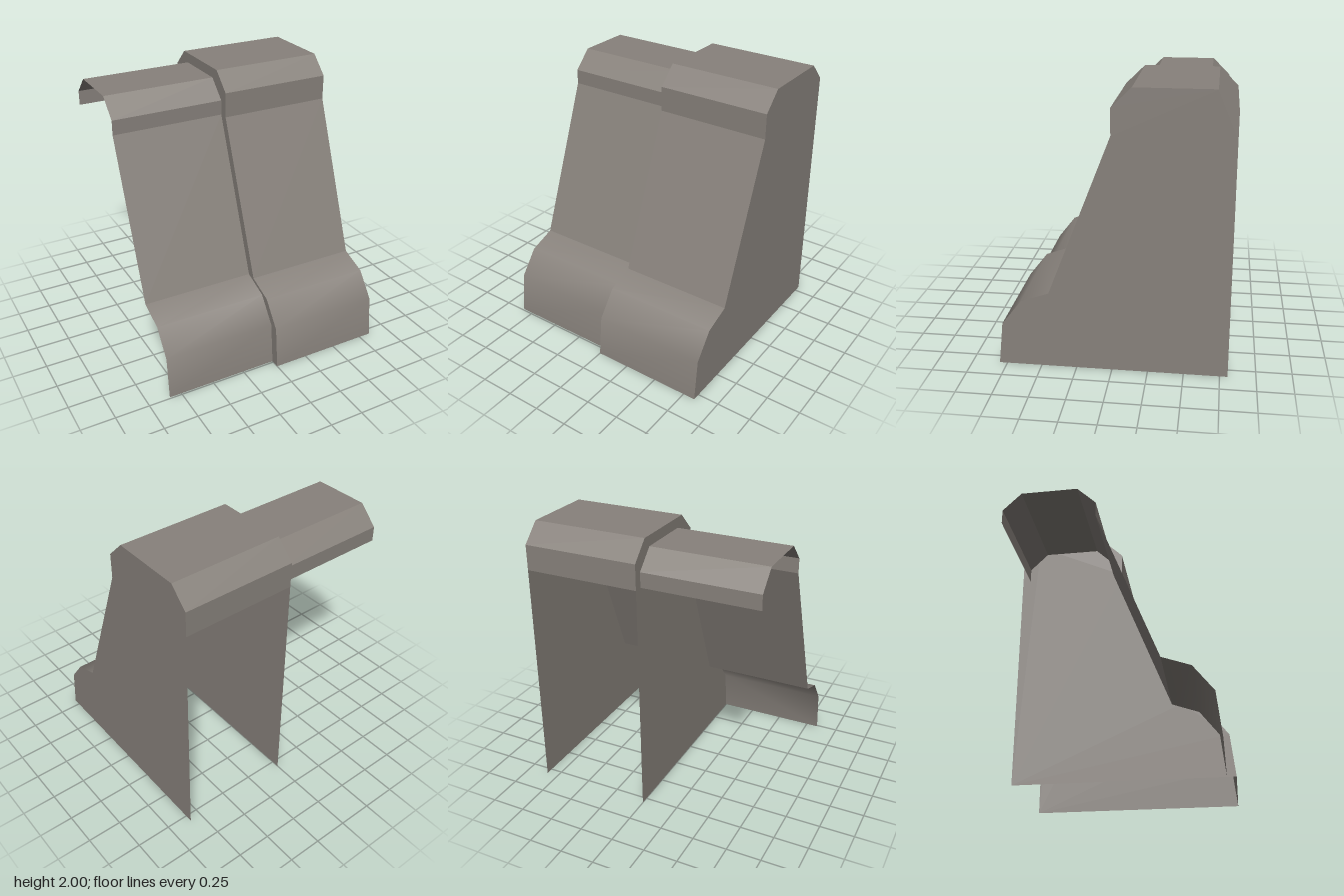
import * as THREE from 'three';

// Cross-sections as [z, y], from the bottom front edge, over the top, to the rear lip
const TOE = [[0.805, 0], [0.772, 0.31], [0.633, 0.49], [0.437, 0.56]];
const SHELL = [[0.437, 0.56], [0, 1.685], [0, 1.867], [-0.136, 2], [-0.672, 2], [-0.805, 1.867], [-0.805, 1.685]];
const INSET_SHELL = [[0.37, 0.56], [-0.066, 1.685], [-0.066, 1.793], [-0.202, 1.926], [-0.612, 1.926], [-0.745, 1.793], [-0.745, 1.685]];

// Sheet swept along x; shared vertices when smooth, separate strips when flat
function sheet(profile, x0, x1, smooth) {
  const pos = [], index = [];
  const add = ([z, y]) => pos.push(x0, y, z, x1, y, z);
  const quad = (a) => index.push(a, a + 1, a + 3, a, a + 3, a + 2);
  if (smooth) {
    profile.forEach(add);
    for (let i = 0; i < profile.length - 1; i++) quad(i * 2);
  } else {
    for (let i = 0; i < profile.length - 1; i++) {
      add(profile[i]);
      add(profile[i + 1]);
      quad(i * 4);
    }
  }
  const g = new THREE.BufferGeometry();
  g.setAttribute('position', new THREE.Float32BufferAttribute(pos, 3));
  g.setIndex(index);
  g.computeVertexNormals();
  return g;
}

export function createModel() {
  const group = new THREE.Group();
  const stone = new THREE.MeshStandardMaterial({ color: 0x87817b, side: THREE.DoubleSide });
  stone.name = 'warm grey';

  const add = (name, geometry) => {
    const mesh = new THREE.Mesh(geometry, stone);
    mesh.name = name;
    group.add(mesh);
    return mesh;
  };

  // Tall section and the slightly recessed section, open behind and below
  add('tallToe', sheet(TOE, 0, 0.84, true));
  add('tallShell', sheet(SHELL, 0, 0.84, false));
  const insetToe = TOE.map(([z, y]) => [z - 0.067, y]);
  add('recessedToe', sheet(insetToe, -0.84, 0, true));
  add('recessedShell', sheet(INSET_SHELL, -0.84, 0, false));

  // End wall and dividing wall
  const outline = [...TOE, ...SHELL.slice(1), [-0.805, 0]];
  const wall = new THREE.ShapeGeometry(
    new THREE.Shape(outline.map(([z, y]) => new THREE.Vector2(-z, y)))
  ).rotateY(Math.PI / 2);
  add('endWall', wall).position.x = 0.84;
  add('dividingWall', wall);

  return group;
}
